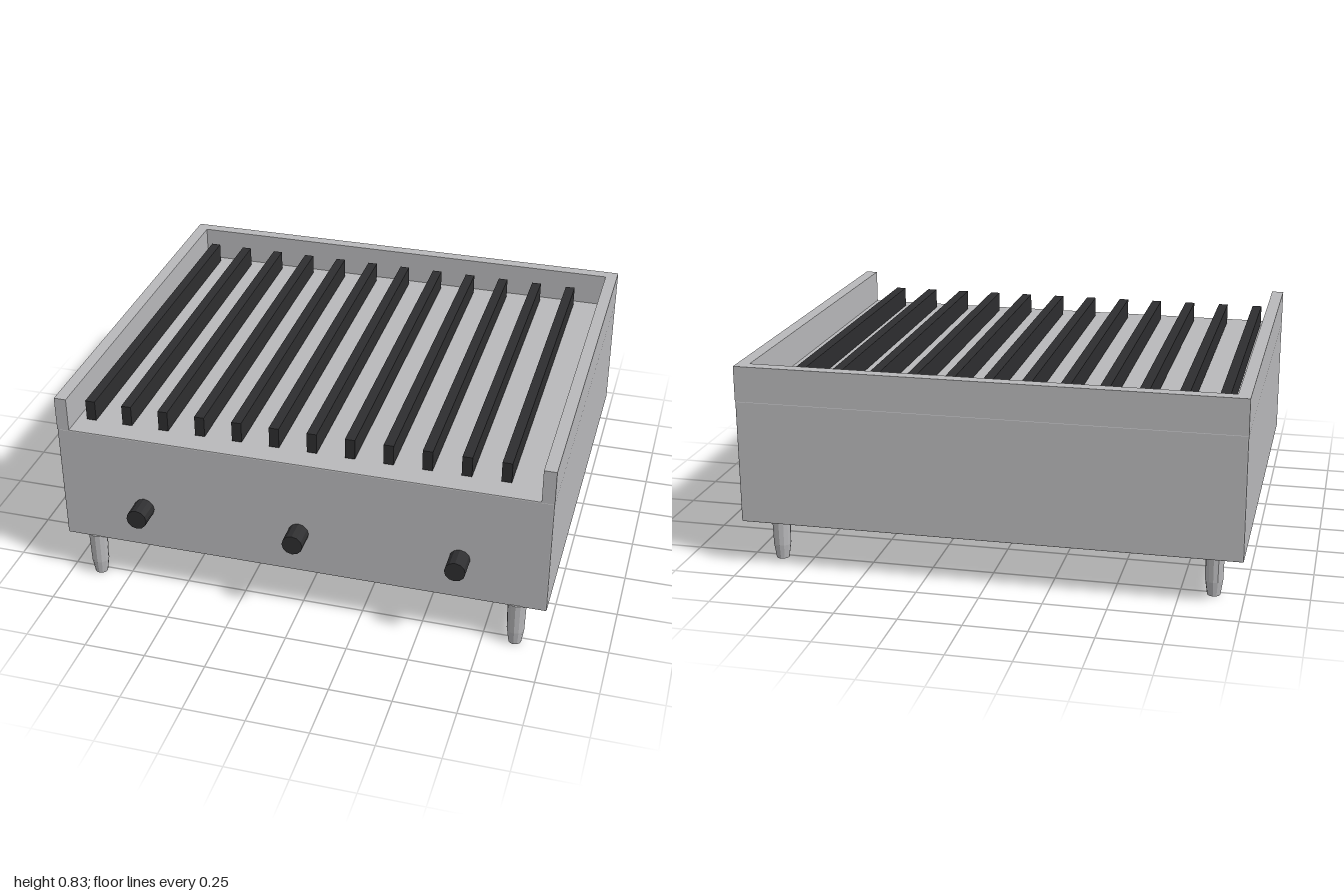
import * as THREE from 'three';
import { RoundedBoxGeometry } from 'three/addons/geometries/RoundedBoxGeometry.js';

export function createModel() {
  const group = new THREE.Group();
  const steel = new THREE.MeshStandardMaterial({ color: 0xb9b9bb, flatShading: true });
  steel.name = 'steel';
  const iron = new THREE.MeshStandardMaterial({ color: 0x2e2e30, flatShading: true });
  iron.name = 'castIron';

  const add = (name, geometry, material, x, y, z) => {
    const mesh = new THREE.Mesh(geometry, material);
    mesh.name = name;
    mesh.position.set(x, y, z);
    group.add(mesh);
    return mesh;
  };

  // Cabinet with finely eased edges
  add('cabinet', new RoundedBoxGeometry(2, 0.505, 1.69, 1, 0.005), steel, 0, 0.4425, -0.045);

  // U-shaped splash guard, open at the front
  const guard = new THREE.Shape();
  [[-1, -0.8], [-0.95, -0.8], [-0.95, 0.84], [0.95, 0.84], [0.95, -0.8], [1, -0.8], [1, 0.89], [-1, 0.89]]
    .forEach(([x, y], i) => (i ? guard.lineTo(x, y) : guard.moveTo(x, y)));
  const guardGeometry = new THREE.ExtrudeGeometry(guard, { depth: 0.143, bevelEnabled: false });
  guardGeometry.rotateX(-Math.PI / 2);
  add('splashGuard', guardGeometry, steel, 0, 0.692, 0);

  // Grill bars
  const barGeometry = new THREE.BoxGeometry(0.04, 0.085, 1.505);
  for (let i = 0; i < 12; i++) {
    add('grillBar', barGeometry, iron, -0.89 + i * 0.1537, 0.7425, -0.0425);
  }

  // Control knobs
  const knobGeometry = new THREE.CylinderGeometry(0.042, 0.042, 0.1, 12);
  knobGeometry.rotateX(Math.PI / 2);
  for (const x of [-0.65, 0, 0.65]) add('knob', knobGeometry, iron, x, 0.375, 0.84);

  // Tapered feet
  const footGeometry = new THREE.LatheGeometry(
    [[0, 0], [0.026, 0], [0.035, 0.06], [0.038, 0.195], [0, 0.195]].map(([r, y]) => new THREE.Vector2(r, y)), 12);
  for (const x of [-0.88, 0.88]) {
    for (const z of [-0.768, 0.771]) add('foot', footGeometry, steel, x, 0, z);
  }
  return group;
}
